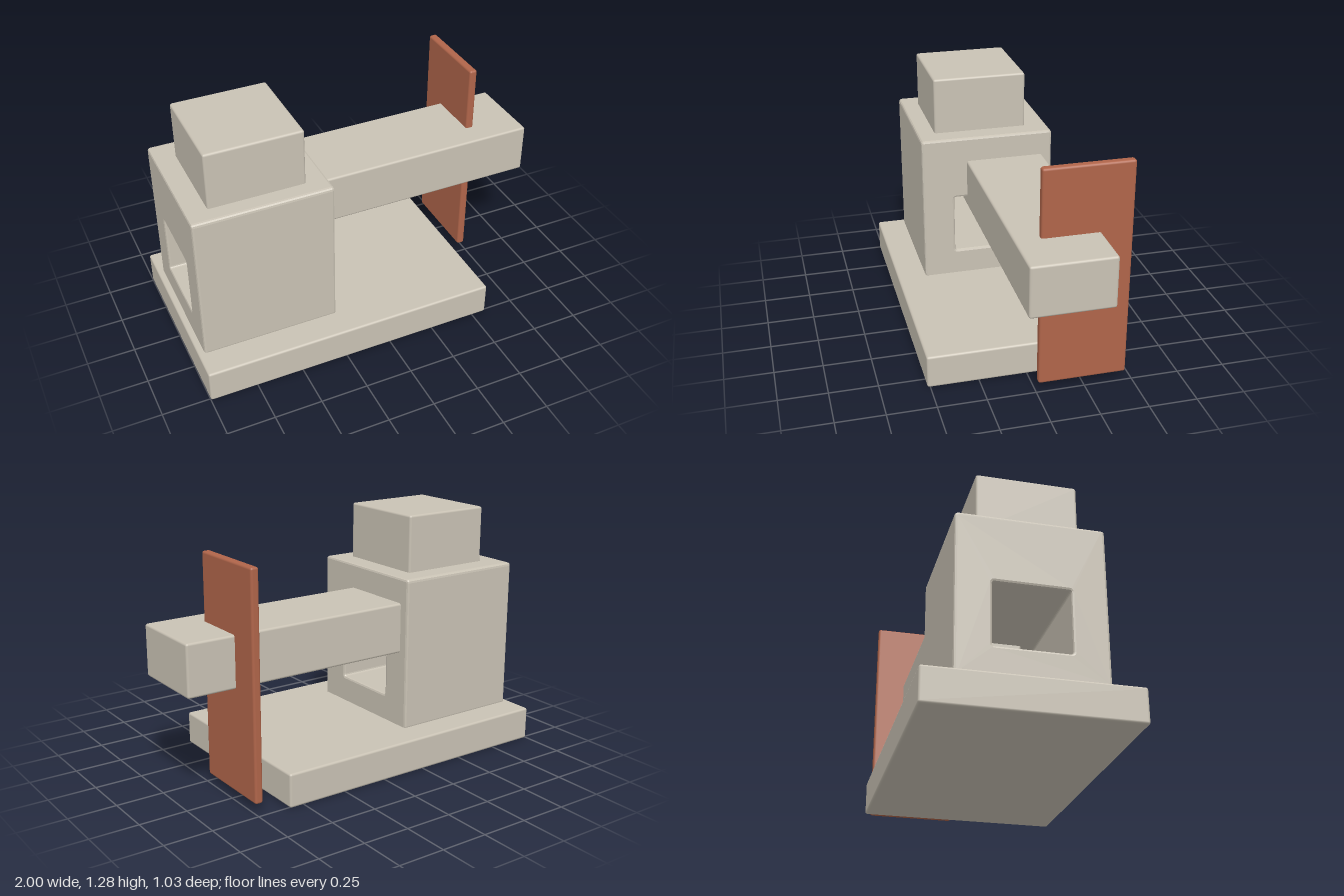
import * as THREE from 'three';
import { RoundedBoxGeometry } from 'three/addons/geometries/RoundedBoxGeometry.js';

const BEVEL = 0.012;
const stone = new THREE.MeshStandardMaterial({ color: 0xc9c2b4 });
const rust = new THREE.MeshStandardMaterial({ color: 0xb0654a });

// Softly bevelled box given by its extents on each axis
function block(name, [x0, x1], [y0, y1], [z0, z1], material = stone) {
  const geometry = new RoundedBoxGeometry(x1 - x0, y1 - y0, z1 - z0, 2, BEVEL);
  const mesh = new THREE.Mesh(geometry, material);
  mesh.position.set((x0 + x1) / 2, (y0 + y1) / 2, (z0 + z1) / 2);
  mesh.name = name;
  return mesh;
}

// Traces a rectangle with small rounded corners
function roundedRect(path, x0, x1, y0, y1, r) {
  path.moveTo(x0 + r, y0);
  path.lineTo(x1 - r, y0).quadraticCurveTo(x1, y0, x1, y0 + r);
  path.lineTo(x1, y1 - r).quadraticCurveTo(x1, y1, x1 - r, y1);
  path.lineTo(x0 + r, y1).quadraticCurveTo(x0, y1, x0, y1 - r);
  path.lineTo(x0, y0 + r).quadraticCurveTo(x0, y0, x0 + r, y0);
  return path;
}

// Tower body with a rectangular tunnel running along x
function createTower() {
  const [x0, x1] = [-0.967, -0.245];
  const shape = roundedRect(new THREE.Shape(), -0.361, 0.361, 0.165, 0.983, BEVEL * 1.5);
  shape.holes.push(roundedRect(new THREE.Path(), -0.186, 0.186, 0.318, 0.64, BEVEL));
  const geometry = new THREE.ExtrudeGeometry(shape, {
    depth: x1 - x0 - 2 * BEVEL,
    bevelThickness: BEVEL,
    bevelSize: BEVEL,
    bevelOffset: -BEVEL,
    bevelSegments: 2,
    curveSegments: 3,
  });
  geometry.rotateY(Math.PI / 2);
  geometry.translate(x0 + BEVEL, 0, 0);
  const mesh = new THREE.Mesh(geometry, stone);
  mesh.name = 'towerBody';
  return mesh;
}

export function createModel() {
  const model = new THREE.Group();
  model.name = 'towerWithArm';
  model.add(
    block('basePlate', [-1, 0.58], [0, 0.177], [-0.515, 0.515]),
    createTower(),
    block('towerCap', [-0.857, -0.355], [0.96, 1.285], [-0.237, 0.267]),
    // The arm is set into the tower and passes through the upright panel
    block('arm', [-0.36, 1], [0.583, 0.85], [-0.308, 0.115]),
    block('panel', [0.703, 0.746], [0.045, 1.2], [-0.467, -0.012], rust),
  );
  return model;
}
